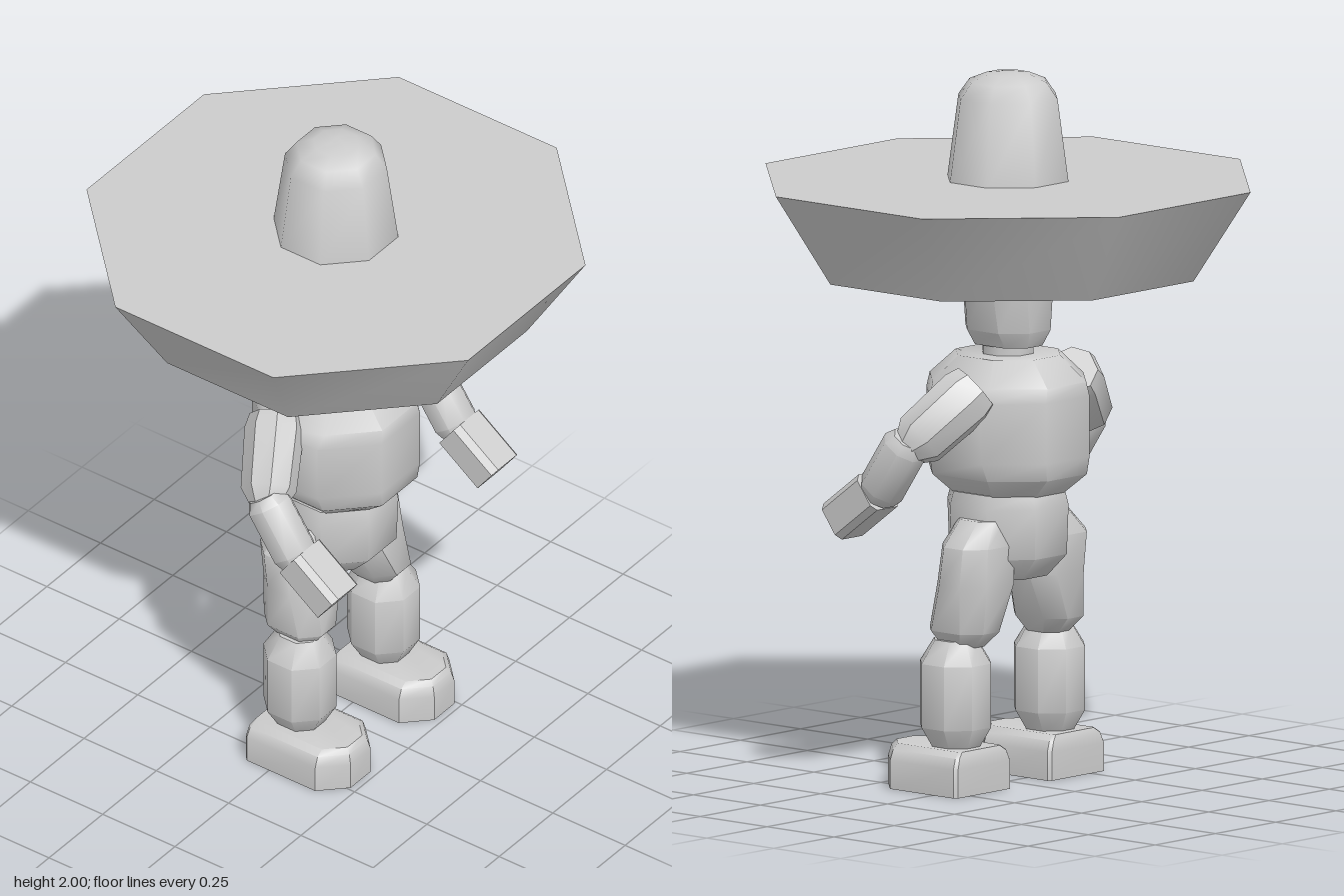
import * as THREE from 'three';
import { toCreasedNormals } from 'three/addons/utils/BufferGeometryUtils.js';

const CUT = 0.586; // corner cut that gives a regular octagon

// Octagonal loft. Section: [y, halfX, halfZ, centreX, centreZ]; cuts trim front and back corners.
function loft(sections, crease = 0.7, frontCut = CUT, backCut = CUT) {
  const pos = [], index = [], n = 8;
  for (const [y, hx, hz, cx = 0, cz = 0] of sections) {
    const f = frontCut * Math.min(hx, hz), b = backCut * Math.min(hx, hz);
    const ring = [
      [hx, -hz + b], [hx, hz - f], [hx - f, hz], [-hx + f, hz],
      [-hx, hz - f], [-hx, -hz + b], [-hx + b, -hz], [hx - b, -hz],
    ];
    for (const [x, z] of ring) pos.push(x + cx, y, z + cz);
  }
  const last = (sections.length - 1) * n;
  for (let r = 0; r < last; r += n) {
    for (let j = 0; j < n; j++) {
      const a = r + j, b = r + (j + 1) % n;
      index.push(a, a + n, b, b, a + n, b + n);
    }
  }
  for (let j = 1; j < n - 1; j++) {
    index.push(0, j, j + 1, last, last + j + 1, last + j);
  }
  const geo = new THREE.BufferGeometry();
  geo.setAttribute('position', new THREE.Float32BufferAttribute(pos, 3));
  geo.setIndex(index);
  return toCreasedNormals(geo, crease);
}

export function createModel() {
  const model = new THREE.Group();
  model.name = 'hatFigure';
  const grey = new THREE.MeshStandardMaterial({ color: 0xcccccc });
  grey.name = 'lightGrey';

  function add(name, geo) {
    const mesh = new THREE.Mesh(geo, grey);
    mesh.name = name;
    model.add(mesh);
    return mesh;
  }

  // Limb segment from one point to another; profile: [fraction along, halfX, halfZ]
  function segment(name, from, to, profile, crease, cut) {
    const a = new THREE.Vector3(...from), d = new THREE.Vector3(...to).sub(a);
    const len = d.length();
    const geo = loft(profile.map(([t, hx, hz]) => [t * len, hx, hz]), crease, cut, cut);
    const mesh = add(name, geo);
    mesh.position.copy(a);
    mesh.quaternion.setFromUnitVectors(new THREE.Vector3(0, 1, 0), d.normalize());
  }

  // Hat
  add('hatBrim', loft([[1.44, 0.505, 0.505], [1.7, 0.66, 0.66]], 0.8));
  add('hatCrown', loft([
    [1.69, 0.166, 0.166], [1.93, 0.135, 0.135], [1.975, 0.105, 0.105], [1.995, 0.06, 0.06], [2, 0.02, 0.02],
  ], 0.9));

  // Head and neck
  add('head', loft([[1.235, 0.075, 0.1], [1.28, 0.105, 0.12], [1.46, 0.13, 0.12]], 0.8));
  add('neck', loft([[1.18, 0.07, 0.07], [1.26, 0.07, 0.07]], 0.8));

  // Body
  add('torso', loft([
    [0.81, 0.13, 0.14], [0.88, 0.2, 0.22], [0.93, 0.217, 0.224],
    [1.1, 0.217, 0.224], [1.14, 0.195, 0.22], [1.21, 0.135, 0.145],
  ], 0.85));
  add('pelvis', loft([
    [0.585, 0.11, 0.1], [0.65, 0.16, 0.16], [0.79, 0.165, 0.165], [0.83, 0.155, 0.155],
  ], 0.85));

  for (const [side, s] of [['left', 1], ['right', -1]]) {
    // Leg
    add(side + 'Thigh', loft([
      [0.405, 0.05, 0.06, s * 0.175, 0.01],
      [0.45, 0.08, 0.1, s * 0.175, 0.005],
      [0.58, 0.11, 0.092, s * 0.145, -0.01],
      [0.69, 0.105, 0.085, s * 0.15, -0.025],
      [0.76, 0.055, 0.065, s * 0.13, -0.02],
    ], 0.85));
    add(side + 'Shin', loft([
      [0.12, 0.06, 0.065, s * 0.195, 0.02],
      [0.18, 0.095, 0.097, s * 0.195, 0.02],
      [0.36, 0.095, 0.097, s * 0.195, 0.02],
      [0.425, 0.055, 0.06, s * 0.195, 0.02],
    ], 0.9));
    // Foot: rounded toe, square heel
    add(side + 'Foot', loft([
      [0, 0.117, 0.158, s * 0.195, 0.072],
      [0.08, 0.117, 0.158, s * 0.195, 0.072],
      [0.11, 0.105, 0.152, s * 0.195, 0.07],
      [0.125, 0.085, 0.142, s * 0.195, 0.068],
    ], 0.7, 0.6, 0.08));

    // Arm, reaching outward and forward
    segment(side + 'UpperArm', [s * 0.2, 1.14, -0.06], [s * 0.375, 0.975, 0.04],
      [[0, 0.07, 0.065], [0.15, 0.08, 0.075], [0.82, 0.075, 0.07], [1, 0.045, 0.045]], 0.6);
    segment(side + 'Forearm', [s * 0.375, 1.01, 0.03], [s * 0.375, 0.835, 0.15],
      [[0, 0.045, 0.045], [0.14, 0.06, 0.062], [0.86, 0.06, 0.062], [1, 0.05, 0.05]], 0.8);
    segment(side + 'Hand', [s * 0.372, 0.85, 0.15], [s * 0.372, 0.752, 0.282],
      [[0, 0.06, 0.058], [1, 0.06, 0.058]], 0.4, 0.3);
  }
  return model;
}
